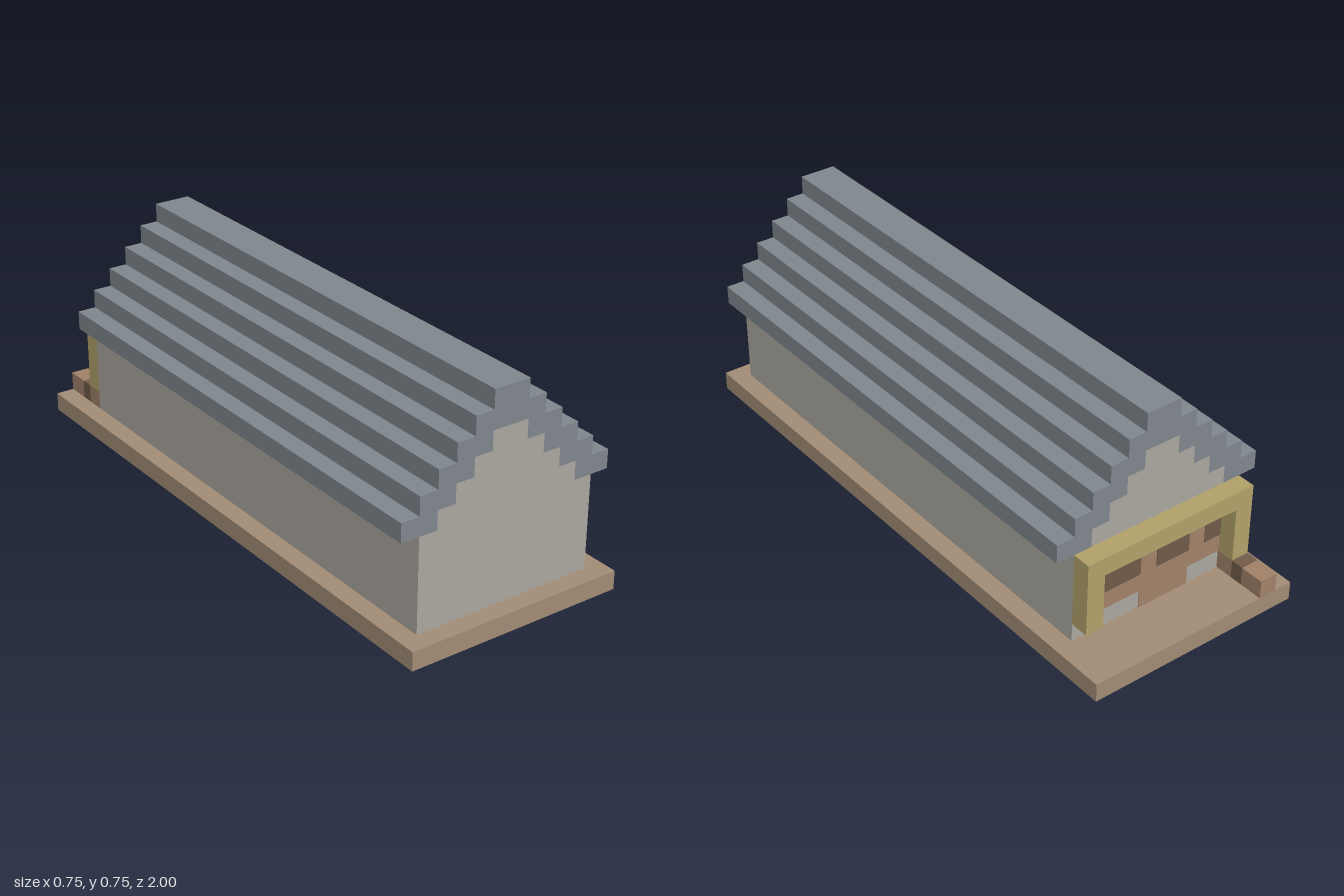
import * as THREE from 'three';
import { mergeGeometries } from 'three/addons/utils/BufferGeometryUtils.js';

const U = 1 / 16; // one block
const mat = (color) => new THREE.MeshStandardMaterial({ color, side: THREE.DoubleSide, flatShading: true });
const STONE = mat(0xaaa69e), ROOF = mat(0x7e858c), EARTH = mat(0xa08b74);
const STRAW = mat(0xb0a068), WOOD = mat(0xa08068), DARK = mat(0x715a48);

export function createModel() {
  const model = new THREE.Group();
  const add = (name, geometry, material) => {
    const mesh = new THREE.Mesh(geometry.scale(U, U, U), material);
    mesh.name = name;
    model.add(mesh);
  };
  // Solid block between two corners
  const block = (x0, x1, y0, y1, z0, z1) =>
    new THREE.BoxGeometry(x1 - x0, y1 - y0, z1 - z0)
      .translate((x0 + x1) / 2, (y0 + y1) / 2, (z0 + z1) / 2);
  // Four upright sides without top or bottom
  const sides = (x, y0, y1, z0, z1) => {
    const h = y1 - y0, y = (y0 + y1) / 2, z = (z0 + z1) / 2;
    return mergeGeometries([
      new THREE.PlaneGeometry(2 * x, h).translate(0, y, z1),
      new THREE.PlaneGeometry(2 * x, h).rotateY(Math.PI).translate(0, y, z0),
      new THREE.PlaneGeometry(z1 - z0, h).rotateY(Math.PI / 2).translate(x, y, z),
      new THREE.PlaneGeometry(z1 - z0, h).rotateY(-Math.PI / 2).translate(-x, y, z),
    ]);
  };
  const rect = (x, z0, z1) => [[-x, -z1], [x, -z1], [x, -z0], [-x, -z0]].map((p) => new THREE.Vector2(...p));
  // Mirrored stair outline: given half widths of successive one-block layers
  const stairs = (widths, y0) => {
    const right = widths.flatMap((w, i) => [[w, y0 + i], [w, y0 + i + 1]]);
    const left = right.map(([x, y]) => [-x, y]).reverse();
    return [right, left];
  };
  const extrude = (points, z0, z1) =>
    new THREE.ExtrudeGeometry(new THREE.Shape(points.map((p) => new THREE.Vector2(...p))),
      { depth: z1 - z0, bevelEnabled: false }).translate(0, 0, z0);

  // Hollow base: rim, walkway around the house, indoor floor
  add('baseRim', sides(6, 0, 1, -16, 16), EARTH);
  const walkway = new THREE.Shape(rect(6, -16, 16));
  walkway.holes.push(new THREE.Path(rect(5, -13, 15)));
  add('walkway', new THREE.ShapeGeometry(walkway).rotateX(-Math.PI / 2).translate(0, 1, 0), EARTH);
  add('floor', new THREE.ShapeGeometry(new THREE.Shape(rect(4, -12, 14)))
    .rotateX(-Math.PI / 2).translate(0, 1, 0), DARK);

  // Double skinned walls, one block apart
  add('outerWalls', sides(5, 1, 6, -13, 15), STONE);
  add('innerWalls', sides(4, 1, 6, -12, 14), STONE);

  // Stepped gables below the roof
  const [innerR, innerL] = stairs([4, 3, 2, 1], 6);
  innerR[0] = [4, 6];
  add('frontGable', extrude([...innerR, ...innerL], 14, 15), STONE);
  add('backGable', extrude([...innerR, ...innerL], -13, -12), STONE);

  // Stepped roof shell following the gables
  const [outerR, outerL] = stairs([6, 5, 4, 3, 2, 1], 6);
  const underside = [...innerR, ...innerL].reverse();
  add('roof', extrude([...outerR, ...outerL, ...underside], -13, 15), ROOF);

  // Frame on the back wall
  add('frameTop', block(-5, 5, 5, 6, -14, -13), STRAW);
  for (const s of [-1, 1]) {
    add(s > 0 ? 'framePostLeft' : 'framePostRight',
      block(Math.min(4 * s, 5 * s), Math.max(4 * s, 5 * s), 2, 5, -14, -13), STRAW);
  }

  // Timber panel inside the frame, with dark openings and a sill
  add('backPanel', block(-4, 4, 2, 5, -13.04, -13), WOOD);
  add('panelFoot', block(-2, 1, 1, 2, -13.04, -13), WOOD);
  const openings = [[-2, 4, 4, 5], [1, 4, 3, 4], [-2, 0, 3, 4], [-4, -3, 3, 5]];
  for (const [x0, x1, y0, y1] of openings) {
    add('panelOpening', block(x0, x1, y0, y1, -13.08, -13.04), DARK);
  }

  // Log lying on the back step
  add('logEnd', block(-5, -4, 1, 2, -16, -14.7), WOOD);
  add('logMiddle', block(-5, -4, 1, 2, -14.7, -14), DARK);
  add('logInner', block(-5, -4, 1, 2, -14, -13), WOOD);

  return model;
}
